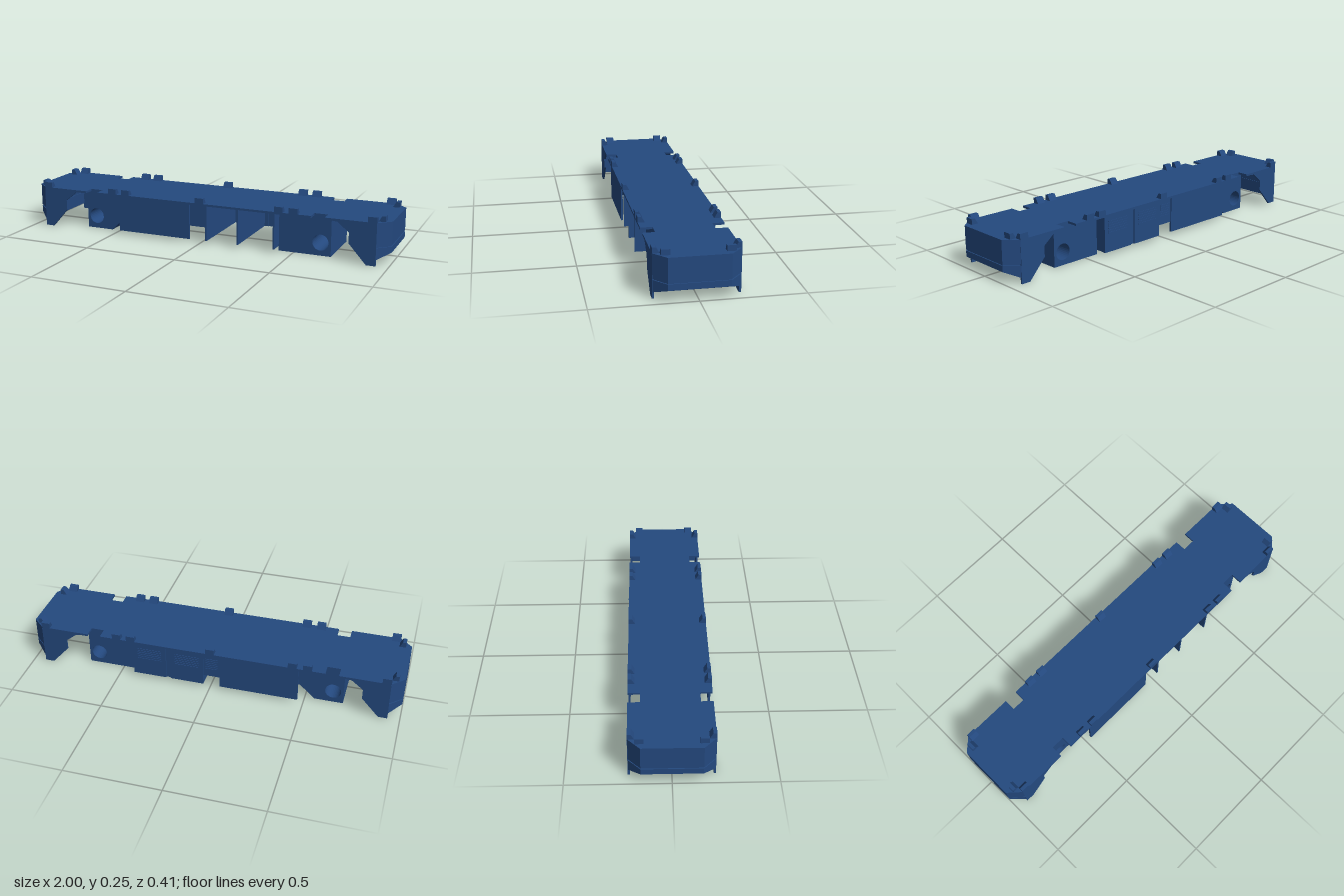
import * as THREE from 'three';

const blue = new THREE.MeshStandardMaterial({ color: 0x24497f });
blue.name = 'chassis blue';

function add(parent, name, geometry) {
  const mesh = new THREE.Mesh(geometry, blue);
  mesh.name = name;
  parent.add(mesh);
  return mesh;
}

// Box given by its limits on each axis
function box(parent, name, x0, x1, y0, y1, z0, z1) {
  const g = new THREE.BoxGeometry(x1 - x0, y1 - y0, z1 - z0);
  g.translate((x0 + x1) / 2, (y0 + y1) / 2, (z0 + z1) / 2);
  return add(parent, name, g);
}

const shapeOf = (pts) => new THREE.Shape(pts.map(([a, b]) => new THREE.Vector2(a, b)));

// Side profile (x, y) extruded along z, with an optional round hole
function sideProfile(pts, z0, z1, hole) {
  const shape = shapeOf(pts);
  if (hole) shape.holes.push(new THREE.Path().absarc(hole[0], hole[1], hole[2], 0, Math.PI * 2, true));
  return new THREE.ExtrudeGeometry(shape, { depth: z1 - z0, bevelEnabled: false, curveSegments: 16 }).translate(0, 0, z0);
}

// Plan outline (x, z) extruded upwards
function plan(pts, y0, y1) {
  return new THREE.ExtrudeGeometry(shapeOf(pts.map(([x, z]) => [x, -z])), { depth: y1 - y0, bevelEnabled: false })
    .rotateX(-Math.PI / 2).translate(0, y0, 0);
}

// Wedge clip with an upright outer face at +z and a sloping inner face
function clipGeometry(width) {
  return sideProfile([[-0.035, 0], [0, 0], [0, 0.029], [-0.018, 0.029]], -width / 2, width / 2)
    .rotateY(-Math.PI / 2);
}

function addEnd(parent) {
  const end = new THREE.Group();
  end.name = 'endSection';
  parent.add(end);
  const nose = [[0.935, 0.205], [1, 0.145], [1, -0.145], [0.935, -0.205]];
  add(end, 'noseUpper', plan(nose, 0.097, 0.217));
  add(end, 'noseGroove', plan(nose.map(([x, z]) => [x - 0.005, z * 0.98]), 0.088, 0.1));
  // Lower nose, its underside rising towards the tip
  const lower = plan(nose, 0.03, 0.091);
  const p = lower.attributes.position;
  for (let i = 0; i < p.count; i++) if (p.getX(i) > 0.98 && p.getY(i) < 0.05) p.setY(i, 0.06);
  lower.computeVertexNormals();
  add(end, 'noseLower', lower);
  // Skirts cut away above the wheels
  const skirt = [[0.937, 0], [0.937, 0.208], [0.69, 0.208], [0.74, 0.203], [0.8, 0.155], [0.8, 0.1], [0.89, 0]];
  for (const s of [-1, 1]) {
    add(end, 'endSkirt', sideProfile(skirt, s > 0 ? 0.195 : -0.205, s > 0 ? 0.205 : -0.195));
    const clip = add(end, 'endClip', clipGeometry(0.042));
    clip.position.set(0.97, 0.216, s * 0.149);
    clip.rotation.y = Math.PI / 2;
  }
  return end;
}

export function createModel() {
  const model = new THREE.Group();
  model.name = 'vehicleChassis';

  // Deck with chamfered corners and four notches
  const quarter = [[0, 0.205], [0.605, 0.205], [0.605, 0.145], [0.675, 0.145], [0.675, 0.205], [0.935, 0.205], [1, 0.145]];
  const rightHalf = [...quarter, ...quarter.slice(1).reverse().map(([x, z]) => [x, -z])];
  const outline = [...rightHalf, ...rightHalf.map(([x, z]) => [-x, -z])];
  outline.splice(rightHalf.length, 1, [0, -0.205]);
  add(model, 'deck', plan(outline, 0.206, 0.217));

  // Matching ends
  addEnd(model);
  addEnd(model).rotation.y = Math.PI;

  // Equipment boxes with a round tunnel through each
  add(model, 'rearEquipmentBox', sideProfile(
    [[-0.7, 0], [-0.55, 0], [-0.47, 0.075], [-0.47, 0.207], [-0.7, 0.207]], -0.145, 0.145, [-0.645, 0.068, 0.042]));
  add(model, 'frontEquipmentBox', sideProfile(
    [[0.42, 0], [0.695, 0], [0.695, 0.207], [0.42, 0.207]], -0.145, 0.145, [0.64, 0.068, 0.042]));

  // Central core and hanging side panels
  box(model, 'centralCore', -0.47, 0.035, 0.075, 0.207, -0.145, 0.145);
  box(model, 'centreVentPanel', -0.055, 0.035, 0.075, 0.207, -0.2, -0.144);
  for (const s of [-1, 1]) {
    box(model, 'longSidePanel', -0.47, -0.055, 0.02, 0.207, s * 0.2 - 0.005, s * 0.2 + 0.005);
  }

  // Open bays: cross walls and vented back panels
  for (const x of [0.035, 0.21, 0.407]) {
    box(model, 'bayWall', x, x + 0.008, 0.02, 0.207, -0.2, 0.203);
  }
  box(model, 'bayBackStrip', 0.215, 0.24, 0.02, 0.207, -0.197, -0.19);
  for (const x of [0.035, 0.24]) {
    box(model, 'bayBackPanel', x, x + 0.18, 0.02, 0.207, -0.205, -0.195);
  }

  // Louvre slats on the back
  for (const [x, width, z] of [[0.125, 0.13, -0.205], [0.33, 0.13, -0.205], [-0.01, 0.065, -0.2]]) {
    for (let i = 0; i < 6; i++) {
      const y = 0.118 + i * 0.012;
      box(model, 'louvreSlat', x - width / 2, x + width / 2, y, y + 0.005, z - 0.003, z + 0.001);
    }
  }

  // Clips along both long edges
  for (const s of [-1, 1]) {
    for (const x of [-0.915, -0.513, -0.435, 0, 0.435, 0.513, 0.915]) {
      const clip = add(model, 'sideClip', clipGeometry(0.046));
      clip.position.set(x, 0.216, s * 0.205);
      if (s < 0) clip.rotation.y = Math.PI;
    }
  }
  return model;
}
